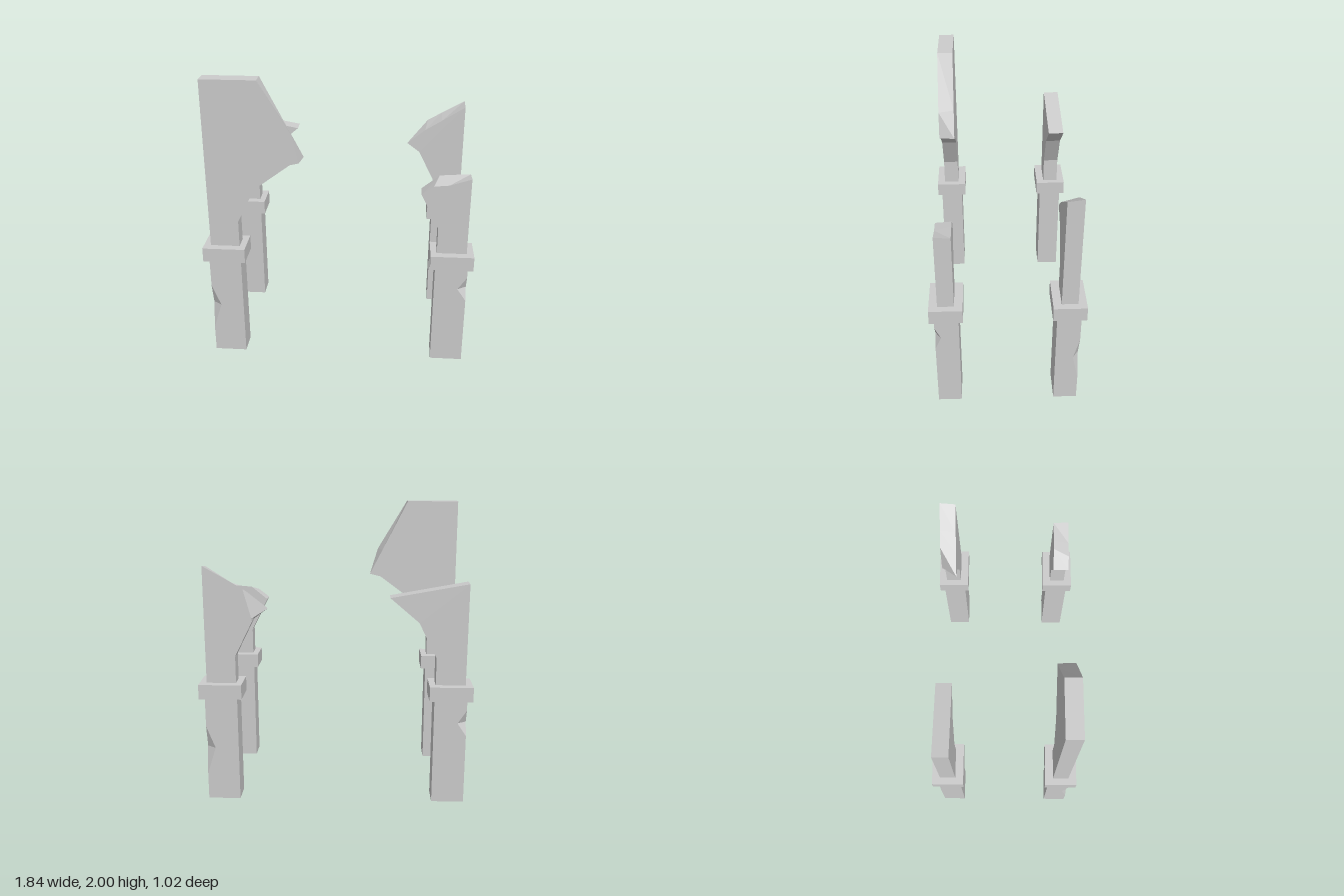
import * as THREE from 'three';

const material = new THREE.MeshStandardMaterial({ color: 0xcccccc, flatShading: true });

// Solid through matching 2D outlines stacked along z; levels = [{ z, points: [[x, y], ...] }]
function loft(levels) {
  const rings = levels.map(l => l.points.map(([x, y]) => new THREE.Vector3(x, y, l.z)));
  if (THREE.ShapeUtils.area(rings[0]) < 0) rings.forEach(r => r.reverse());
  const pos = [];
  const tri = (a, b, c) => {
    const area = b.clone().sub(a).cross(c.clone().sub(a)).length();
    if (area > 1e-7) pos.push(...a.toArray(), ...b.toArray(), ...c.toArray());
  };
  for (let k = 0; k < rings.length - 1; k++) {
    const lo = rings[k], hi = rings[k + 1];
    lo.forEach((p, i) => {
      const j = (i + 1) % lo.length;
      tri(p, lo[j], hi[j]);
      tri(p, hi[j], hi[i]);
    });
  }
  const cap = (ring, flip) => {
    const flat = ring.map(p => new THREE.Vector2(p.x, p.y));
    for (const [a, b, c] of THREE.ShapeUtils.triangulateShape(flat, [])) {
      flip ? tri(ring[a], ring[c], ring[b]) : tri(ring[a], ring[b], ring[c]);
    }
  };
  cap(rings[0], true);
  cap(rings[rings.length - 1], false);
  const g = new THREE.BufferGeometry();
  g.setAttribute('position', new THREE.Float32BufferAttribute(pos, 3));
  g.computeVertexNormals();
  return g;
}

// Square post with a chip cut from its outer corner between heights y0 and y1
function shaftGeometry(sx, sz, [y0, ym, y1]) {
  const w = 0.11, d = 0.08;
  const section = (z, cx, cz) => ({
    z,
    points: [[-w, -d], [w, -d], [w, d - cz], [w - cx, d], [-w, d]].map(([x, v]) => [x * sx, -v * sz]),
  });
  return loft([
    section(0, 0, 0), section(y0, 0, 0), section(ym, 0.06, 0.04), section(y1, 0, 0), section(0.735, 0, 0),
  ]).rotateX(-Math.PI / 2);
}

// Lower outline shared by every arch stub, from the outer edge inward
const foot = [[0.873, 0.835], [0.673, 0.835], [0.673, 1.02], [0.553, 1.26]];
const bigChip = [0.185, 0.375, 0.53];
const smallChip = [0.485, 0.575, 0.665];

// front / back: broken outline of the stub on its +z and -z faces
const flatBreak = [[0.36, 1.425], [0.875, 1.52]];
const pillars = [
  {
    name: 'tallPillar', sx: -1, sz: 1, chip: bigChip,
    front: [[0.31, 1.44], [0.25, 1.455], [0.29, 1.64], [0.505, 2], [0.873, 2]],
    back: [[0.31, 1.44], [0.23, 1.46], [0.322, 1.64], [0.505, 2], [0.873, 2]],
  },
  { name: 'flatTopPillar', sx: -1, sz: -1, chip: smallChip, front: flatBreak, back: flatBreak },
  {
    name: 'shortPillar', sx: 1, sz: 1, chip: smallChip,
    front: [[0.63, 1.32], [0.73, 1.33], [0.873, 1.377]],
    back: [[0.67, 1.355], [0.73, 1.361], [0.873, 1.37]],
  },
  {
    name: 'slantedPillar', sx: 1, sz: -1, chip: bigChip,
    front: [[0.46, 1.33], [0.59, 1.435], [0.71, 1.51], [0.873, 1.615]],
    back: [[0.556, 1.28], [0.61, 1.48], [0.71, 1.538], [0.873, 1.63]],
  },
];

export function createModel() {
  const model = new THREE.Group();
  model.name = 'ruinedArches';
  for (const { name, sx, sz, chip, front, back } of pillars) {
    const pillar = new THREE.Group();
    pillar.name = name;
    pillar.position.set(0.775 * sx, 0, 0.4 * sz);
    const add = (part, geometry) => {
      const mesh = new THREE.Mesh(geometry, material);
      mesh.name = part;
      pillar.add(mesh);
      return mesh;
    };

    add('shaft', shaftGeometry(sx, sz, chip));
    add('collar', new THREE.BoxGeometry(0.29, 0.1, 0.22)).position.y = 0.785;

    // Broken start of the arch above the collar
    const outline = top => [...foot, ...top].map(([x, y]) => [(x - 0.775) * sx, y]);
    add('archStub', loft([
      { z: -0.054, points: outline(back) },
      { z: 0.054, points: outline(front) },
    ]));
    model.add(pillar);
  }
  return model;
}
